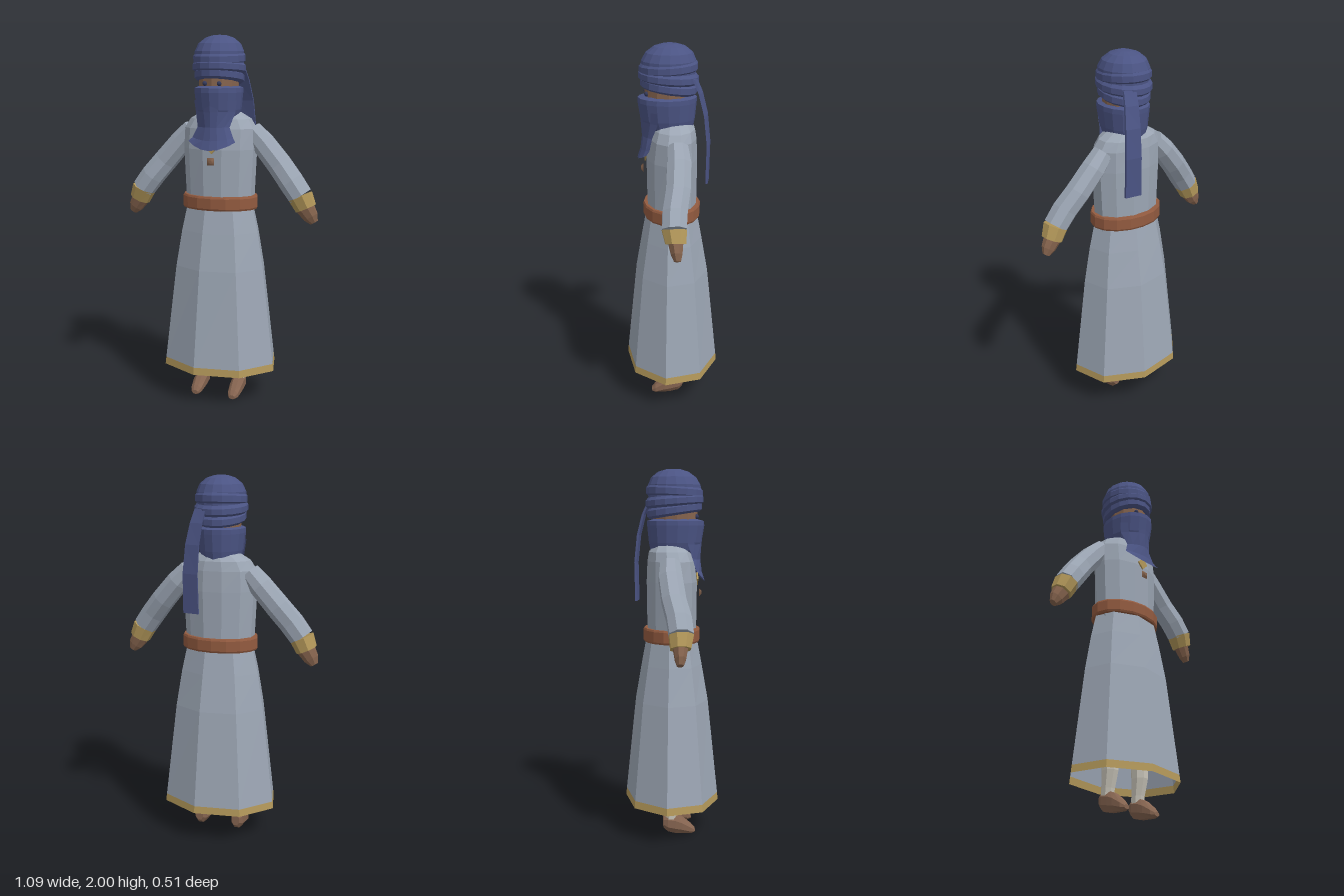
import * as THREE from 'three';

const V = (x, y, z) => new THREE.Vector3(x, y, z);
const UP = V(0, 1, 0), FRONT = V(0, 0, 1);

const mat = (name, color) => {
  const m = new THREE.MeshStandardMaterial({ color });
  m.name = name;
  return m;
};

// Flat-faceted surface through rows of points (rows run bottom to top, columns left to right)
function skin(rows, closeEnds = false) {
  const pos = [];
  const tri = (a, b, c) => [a, b, c].forEach(p => pos.push(p.x, p.y, p.z));
  for (let i = 0; i < rows.length - 1; i++) {
    for (let j = 0; j < rows[i].length - 1; j++) {
      const a = rows[i][j], b = rows[i][j + 1], c = rows[i + 1][j + 1], d = rows[i + 1][j];
      tri(a, b, c);
      tri(a, c, d);
    }
  }
  if (closeEnds) {
    [rows[0], rows[rows.length - 1]].forEach((row, end) => {
      const mid = row.slice(1).reduce((s, p) => s.add(p), V(0, 0, 0)).divideScalar(row.length - 1);
      for (let j = 0; j < row.length - 1; j++) {
        if (end) tri(row[j], row[j + 1], mid);
        else tri(row[j + 1], row[j], mid);
      }
    });
  }
  const g = new THREE.BufferGeometry();
  g.setAttribute('position', new THREE.Float32BufferAttribute(pos, 3));
  g.computeVertexNormals();
  return g;
}

// Elliptical ring around c, across the direction d; w is the direction of the second radius
function ring(c, ru, rw, n, phase = 0, d = UP, w = FRONT) {
  const u = d.clone().cross(w).normalize();
  return Array.from({ length: n + 1 }, (_, j) => {
    const t = phase + (j % n) / n * Math.PI * 2;
    return c.clone().addScaledVector(u, ru * Math.sin(t)).addScaledVector(w, rw * Math.cos(t));
  });
}

// Upright stack of rings: [y, rx, rz, cz, tilt], tilt lifting the front and lowering the back
function stack(list, n, phase = 0, closeEnds = true) {
  return skin(list.map(([y, rx, rz, cz = 0, tilt = 0]) => {
    const r = ring(V(0, y, cz), rx, rz, n, phase);
    r.forEach(p => { p.y += tilt * (p.z - cz) / rz; });
    return r;
  }), closeEnds);
}

export function createModel() {
  const model = new THREE.Group();
  const robe = mat('grey robe cloth', 0x9ca6b4);
  const lining = mat('gold trim', 0xb3985a);
  const navy = mat('navy cloth', 0x4b5484);
  const leather = mat('belt leather', 0x935b40);
  const flesh = mat('skin', 0x86644e);
  const shoeMat = mat('shoe leather', 0x856450);
  const linen = mat('trouser linen', 0xcbc7bb);
  const dark = mat('eye', 0x343a5c);
  robe.side = lining.side = navy.side = THREE.DoubleSide;

  const add = (name, geometry, material, parent = model) => {
    const m = new THREE.Mesh(geometry, material);
    m.name = name;
    parent.add(m);
    return m;
  };

  // Eight-sided skirt, slightly twisted, with a gold hem
  const twist = -Math.PI / 16;
  add('skirt', stack([[0.22, 0.33, 0.256], [0.75, 0.264, 0.2], [0.95, 0.23, 0.165], [1.1, 0.195, 0.137]], 8, twist, false), robe);
  add('hem', stack([[0.18, 0.335, 0.26], [0.22, 0.33, 0.256]], 8, twist, false), lining);

  // Upper robe and belt
  add('torso', stack([
    [1.05, 0.19, 0.132], [1.15, 0.193, 0.135], [1.4, 0.205, 0.138],
    [1.51, 0.202, 0.128, -0.005], [1.56, 0.17, 0.115, -0.01], [1.6, 0.1, 0.09, -0.01],
  ], 12, Math.PI / 12), robe);
  add('belt', stack([[1.075, 0.207, 0.15], [1.085, 0.212, 0.155], [1.14, 0.212, 0.155], [1.15, 0.207, 0.15]], 16), leather);

  // Neckline trim and pendant
  const trim = add('necklineTrim', new THREE.BoxGeometry(0.05, 0.05, 0.008), lining);
  trim.position.set(0, 1.415, 0.14);
  trim.rotation.z = Math.PI / 4;
  const pendant = add('pendant', new THREE.CylinderGeometry(0.012, 0.028, 0.012, 4, 1), flesh);
  pendant.rotation.set(Math.PI / 2, Math.PI / 4, 0);
  pendant.position.set(0, 1.34, 0.158);

  // Face, eyes, veil and bib
  add('face', stack([[1.62, 0.09, 0.1, 0.02], [1.7, 0.105, 0.12, 0.02], [1.85, 0.11, 0.12, 0.02]], 12), flesh);
  for (const s of [-1, 1]) {
    const eye = add(s > 0 ? 'leftEye' : 'rightEye', new THREE.SphereGeometry(0.013, 8, 6), dark);
    eye.position.set(0.04 * s, 1.748, 0.131);
  }
  add('veil', stack([
    [1.54, 0.085, 0.1, 0.01], [1.57, 0.107, 0.13, 0.015], [1.61, 0.117, 0.143, 0.02],
    [1.7, 0.127, 0.155, 0.023], [1.725, 0.126, 0.155, 0.022], [1.735, 0.1, 0.12, 0.02],
  ], 16), navy);
  const bib = [[1.4, 0.132, 0.182, 0.045], [1.45, 0.115, 0.166, 0.045], [1.52, 0.09, 0.157, 0.05], [1.6, 0.112, 0.163, 0.085], [1.66, 0.12, 0.17, 0.09]];
  add('veilBib', skin(bib.map(([y, hw, z, sag], i) =>
    [-1, -0.75, -0.35, 0, 0.35, 0.75, 1].map(k => V(hw * k, y + (i < 2 ? (i ? 0.015 : 0.045) * k * k : 0), z - sag * k * k)))), navy);

  // Turban: domed crown over three tilted, overlapping wraps
  add('turbanCrown', stack([
    [1.84, 0.13, 0.145, 0.02], [1.915, 0.13, 0.142, 0.015], [1.955, 0.112, 0.122, 0.012],
    [1.985, 0.075, 0.083, 0.01], [1.998, 0.035, 0.04, 0.01], [2.0, 0.008, 0.008, 0.01],
  ], 16), navy);
  const wraps = [[1.755, 0.06, 0.021, 0.131, 0.148], [1.802, 0.058, 0.012, 0.141, 0.157], [1.85, 0.062, -0.008, 0.137, 0.153]];
  wraps.forEach(([y, h, tilt, rx, rz], i) => add('turbanWrap' + (i + 1), stack([
    [y, rx - 0.014, rz - 0.014, 0.016, tilt], [y + 0.012, rx, rz, 0.016, tilt],
    [y + h * 0.7, rx, rz, 0.016, tilt], [y + h, rx - 0.014, rz - 0.014, 0.016, tilt],
  ], 16), navy));

  // Loose cloth end hanging down the back
  const tail = [[0.1, 1.29, -0.183, 0.045], [0.102, 1.5, -0.187, 0.043], [0.095, 1.65, -0.172, 0.04], [0.082, 1.76, -0.145, 0.036], [0.07, 1.83, -0.115, 0.033]];
  add('turbanTail', skin(tail.map(([x, y, z, hw]) => {
    const p = [[-1, -1], [1, -1], [1, 1], [-1, 1], [-1, -1]];
    return p.map(([a, b]) => V(x + a * hw, y, z + a * 0.008 - b * 0.006)).reverse();
  }), true), navy);

  for (const s of [-1, 1]) {
    const side = s > 0 ? 'left' : 'right';

    // Sleeve, cuff and hand; each ring: [x, y, z, radius, depth radius]
    const limb = list => skin(list.map(([x, y, z, r, rz], i) => {
      const a = list[Math.max(i - 1, 0)], b = list[Math.min(i + 1, list.length - 1)];
      const d = V(s * (b[0] - a[0]), b[1] - a[1], 0).normalize();
      return ring(V(s * x, y, z), r, rz, 8, Math.PI / 8, d);
    }), true);
    const arm = new THREE.Group();
    arm.name = side + 'Arm';
    model.add(arm);
    add(side + 'Sleeve', limb([
      [0.455, 1.16, 0.012, 0.066, 0.066], [0.4, 1.235, 0.005, 0.068, 0.068], [0.33, 1.32, -0.015, 0.067, 0.067],
      [0.235, 1.43, -0.025, 0.064, 0.066], [0.17, 1.5, -0.022, 0.055, 0.056],
    ]), robe, arm);
    add(side + 'Cuff', limb([[0.485, 1.095, 0.006, 0.058, 0.055], [0.455, 1.16, 0.012, 0.067, 0.067]]), lining, arm);
    add(side + 'Hand', limb([
      [0.53, 1.02, 0, 0.022, 0.018], [0.512, 1.05, 0.003, 0.042, 0.03], [0.48, 1.1, 0.006, 0.052, 0.04],
    ]), flesh, arm);

    // Trouser leg and shoe
    const leg = new THREE.Group();
    leg.name = side + 'Leg';
    leg.position.x = 0.11 * s;
    model.add(leg);
    add(side + 'Trouser', stack([
      [0.08, 0.032, 0.035, -0.015], [0.13, 0.035, 0.038, -0.01], [0.22, 0.042, 0.048, 0.003], [0.7, 0.06, 0.065, 0],
    ], 8, Math.PI / 8), linen, leg);
    const shoe = [[0.12, 0.022, 0.018, 0.012], [0.1, 0.03, 0.032, 0.028], [0.05, 0.052, 0.038, 0.049], [0.015, 0.062, 0.038, 0.058], [-0.03, 0.07, 0.036, 0.055], [-0.055, 0.075, 0.024, 0.035]];
    add(side + 'Shoe', skin(shoe.map(([z, y, rx, ry]) =>
      ring(V(0, y, z), rx, ry, 8, Math.PI / 8, V(0, 0, -1), UP)), true), shoeMat, leg);
  }
  return model;
}
